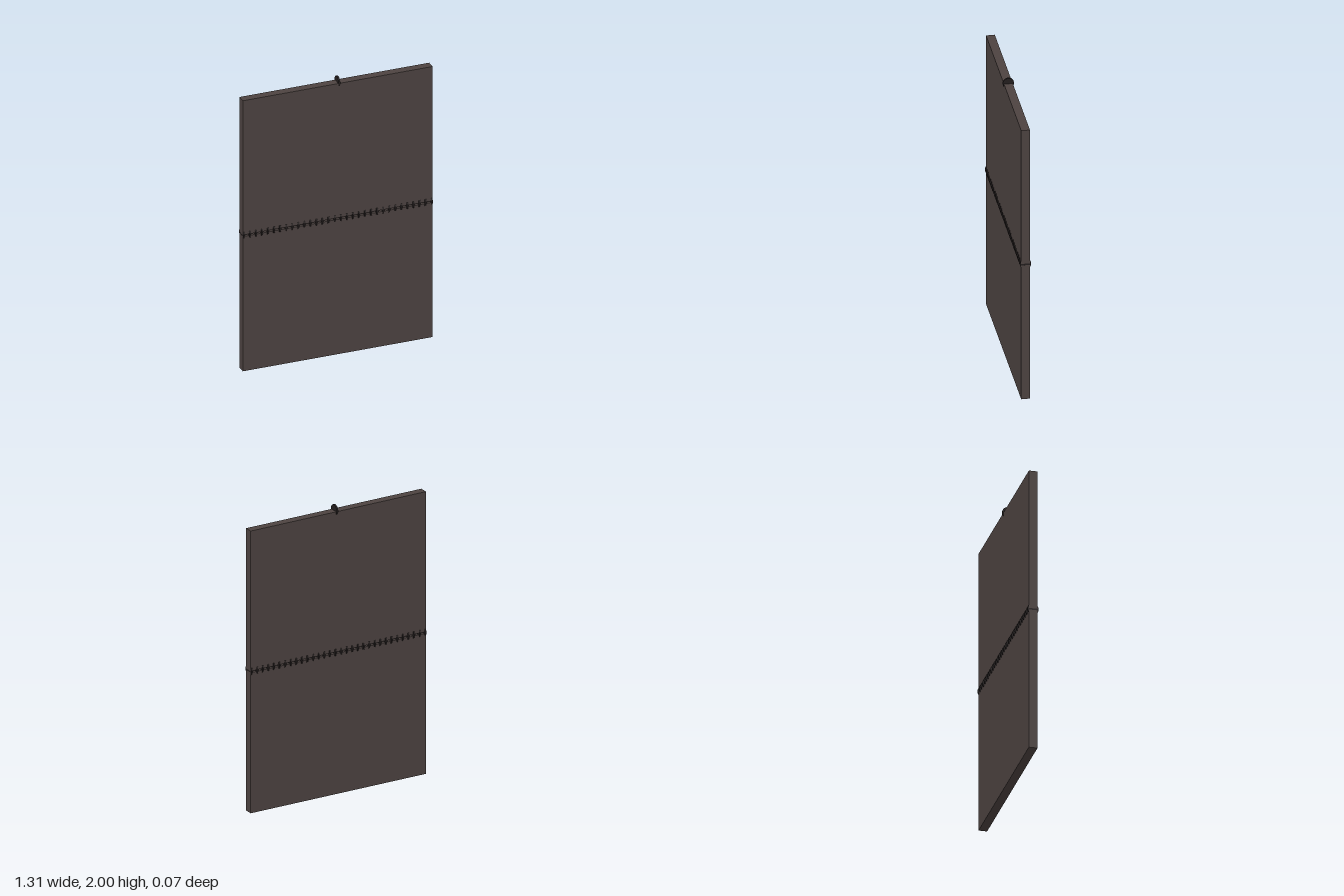
import * as THREE from 'three';

export function createModel() {
  const model = new THREE.Group();
  model.name = 'hingedBoard';
  const boardMaterial = new THREE.MeshStandardMaterial({ color: 0x4d4341 });
  const ringMaterial = new THREE.MeshStandardMaterial({ color: 0x231e1e });

  // Two flat panels with a narrow gap between them
  function addPanel(name, bottom, top) {
    const panel = new THREE.Mesh(new THREE.BoxGeometry(1.308, top - bottom, 0.057), boardMaterial);
    panel.name = name;
    panel.position.y = (bottom + top) / 2;
    model.add(panel);
  }
  addPanel('lowerPanel', 0, 0.976);
  addPanel('upperPanel', 0.987, 1.96);

  // Thin round binding discs, axis along x
  const ringGeometry = new THREE.CylinderGeometry(0.037, 0.037, 0.011, 24);
  ringGeometry.rotateZ(Math.PI / 2);
  function addRing(name, x, y, parent) {
    const ring = new THREE.Mesh(ringGeometry, ringMaterial);
    ring.name = name;
    ring.position.set(x, y, 0);
    parent.add(ring);
  }

  // Row of binding rings across the gap
  const binding = new THREE.Group();
  binding.name = 'bindingRings';
  const count = 32;
  for (let i = 0; i < count; i++) {
    addRing('bindingRing', -0.648 + (1.296 * i) / (count - 1), 0.984, binding);
  }
  model.add(binding);

  // Single hanger on the top edge
  addRing('topHanger', 0.01, 1.963, model);
  return model;
}
